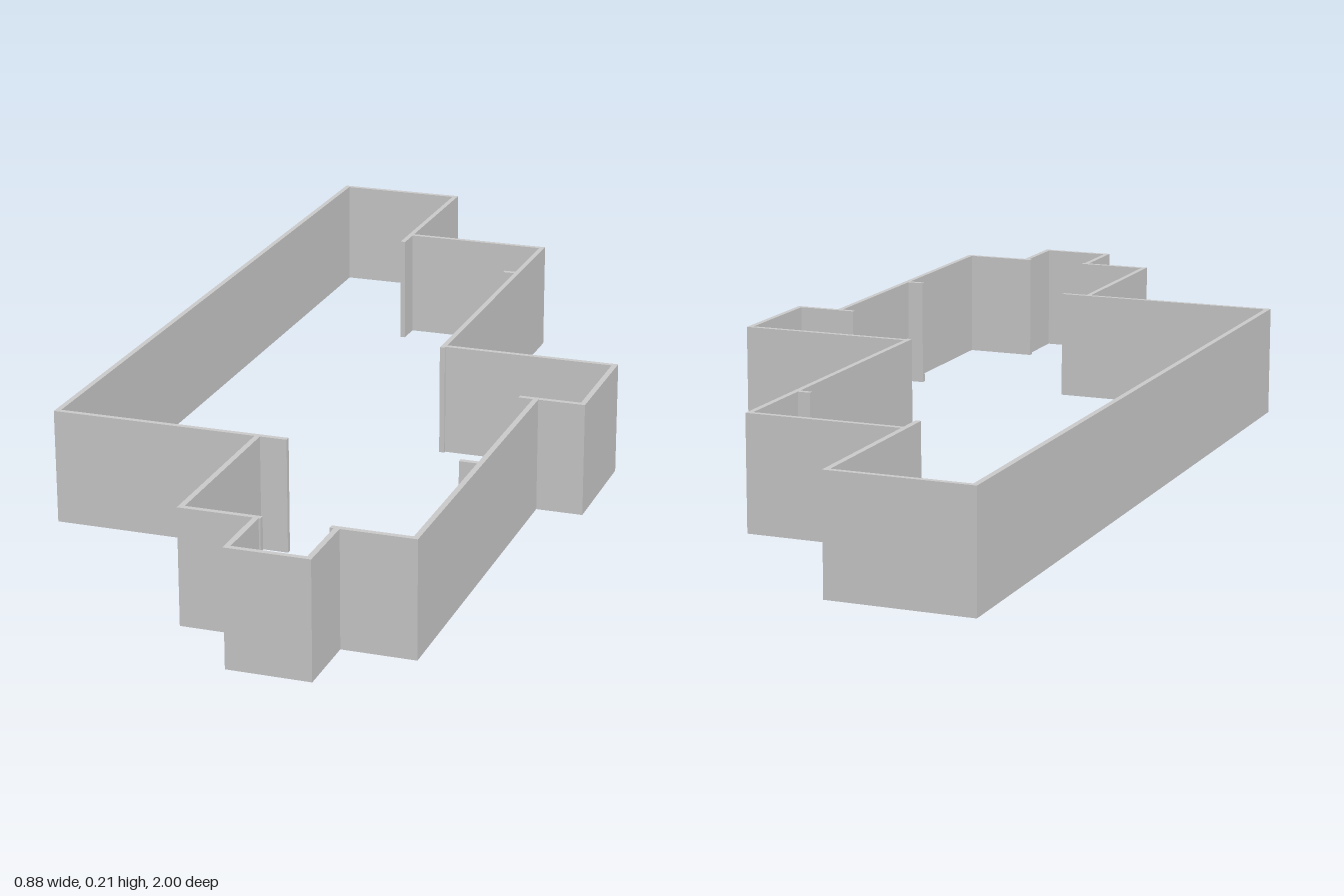
import * as THREE from 'three';

const HEIGHT = 0.21;
const THICK = 0.01;

export function createModel() {
  const model = new THREE.Group();
  const material = new THREE.MeshStandardMaterial({ color: 0xcccccc, flatShading: true });

  // Upright panel filling a rectangle on the floor plan
  function panel(name, x0, x1, z0, z1) {
    const mesh = new THREE.Mesh(new THREE.BoxGeometry(x1 - x0, HEIGHT, z1 - z0), material);
    mesh.name = name;
    mesh.position.set((x0 + x1) / 2, HEIGHT / 2, (z0 + z1) / 2);
    model.add(mesh);
  }

  // Walls running along z: name, lower x face, z start, z end
  const lengthwise = [
    ['longSideWall', -0.438, -1, 0.526],
    ['backRoomWall', -0.188, -1, -0.637],
    ['middleSideWall', 0.098, -0.696, -0.022],
    ['sideBayWall', 0.428, -0.037, 0.193],
    ['frontSideWall', 0.342, 0.183, 0.87],
    ['porchLeftWall', 0.211, 0.86, 1],
    ['porchRightWall', 0.073, 0.86, 1],
    ['frontRoomWall', -0.059, 0.516, 0.87],
  ];
  for (const [name, x, z0, z1] of lengthwise) panel(name, x, x + THICK, z0, z1);

  // Walls running along x, and short stubs: name, lower z face, x start, x end
  const crosswise = [
    ['backWall', -1, -0.438, -0.178],
    ['backStepWall', -0.696, -0.188, 0.108],
    ['middleStub', -0.515, 0.075, 0.1],
    ['sideBayBackWall', -0.037, 0.098, 0.438],
    ['sideBayFrontWall', 0.183, 0.315, 0.438],
    ['frontStub', 0.516, 0.31, 0.344],
    ['rightFrontWall', 0.516, -0.438, 0],
    ['frontWallLeft', 0.86, 0.204, 0.352],
    ['frontWallRight', 0.86, -0.059, 0.086],
    ['porchFrontWall', 0.99, 0.073, 0.221],
  ];
  for (const [name, z, x0, x1] of crosswise) panel(name, x0, x1, z, z + THICK);

  return model;
}
